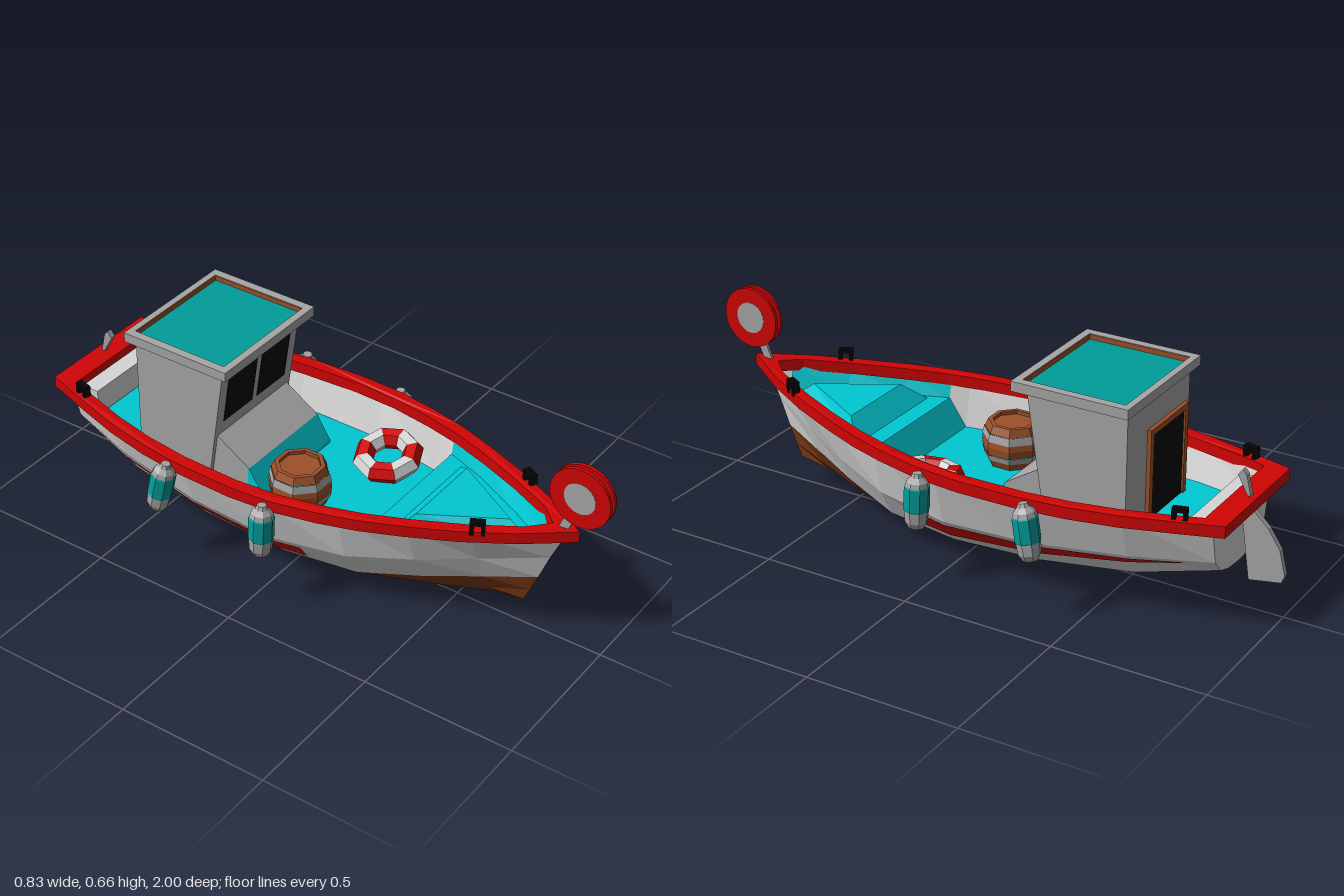
import * as THREE from 'three';

const mat = (name, color) => new THREE.MeshStandardMaterial({ name, color, flatShading: true, side: THREE.DoubleSide });
const lerpTable = (t, z) => { // t: [z, value] pairs with rising z
  if (z <= t[0][0]) return t[0][1];
  for (let i = 1; i < t.length; i++) {
    const [a, b] = [t[i - 1], t[i]];
    if (z <= b[0]) return a[1] + (b[1] - a[1]) * (z - a[0]) / (b[0] - a[0]);
  }
  return t[t.length - 1][1];
};

// Hull lines: half widths, heights and the z where each line meets the stem
const Z = [-0.85, -0.6, -0.3, 0, 0.25, 0.45, 0.62];
const line = (bowZ, xs, ys) => {
  const zs = [...Z, bowZ];
  const tx = zs.map((z, i) => [z, xs[i]]), ty = zs.map((z, i) => [z, ys[i]]);
  return { zs, xs, ys, x: z => lerpTable(tx, z), y: z => lerpTable(ty, z) };
};
const keel = line(0.73, [0, 0, 0, 0, 0, 0, 0, 0], [0.15, 0.075, 0.025, 0, 0.015, 0.04, 0.065, 0.085]);
const bilge = line(0.75, [0.07, 0.11, 0.125, 0.125, 0.105, 0.07, 0.03, 0], [0.155, 0.09, 0.042, 0.02, 0.03, 0.06, 0.1, 0.13]);
const water = line(0.775, [0.125, 0.19, 0.22, 0.22, 0.19, 0.125, 0.06, 0], [0.172, 0.125, 0.095, 0.08, 0.09, 0.125, 0.16, 0.19]);
const chine = line(0.81, [0.165, 0.235, 0.28, 0.285, 0.25, 0.175, 0.095, 0], [0.215, 0.2, 0.18, 0.17, 0.19, 0.22, 0.25, 0.28]);
const top = line(0.86, [0.195, 0.28, 0.33, 0.335, 0.285, 0.22, 0.148, 0], [0.345, 0.34, 0.338, 0.343, 0.353, 0.363, 0.373, 0.39]);
const LINES = [keel, bilge, water, chine, top];
const hullX = (z, y) => lerpTable(LINES.map(l => [l.y(z), l.x(z)]), y);

const RAIL = [[-0.9, 0.217], [-0.75, 0.262], [-0.6, 0.304], [-0.45, 0.335], [-0.3, 0.352], [-0.1, 0.36], [0.05, 0.351],
  [0.2, 0.322], [0.32, 0.29], [0.45, 0.242], [0.6, 0.178], [0.75, 0.1], [0.9, 0]];
const SHEER = [[-0.9, 0.37], [-0.6, 0.363], [-0.3, 0.362], [0, 0.367], [0.25, 0.377], [0.45, 0.387], [0.62, 0.396], [0.9, 0.415]];
const sheer = z => lerpTable(SHEER, z);
const DECK = 0.21, BOW = 0.3;
const deckY = z => DECK + Math.max(0, -z - 0.2) * 0.06;

// Surface through rows of points
function loft(rows) {
  const pos = rows.flat(2), idx = [], n = rows[0].length;
  for (let i = 0; i < rows.length - 1; i++) for (let j = 0; j < n - 1; j++) {
    const a = i * n + j;
    idx.push(a, a + 1, a + n + 1, a, a + n + 1, a + n);
  }
  const g = new THREE.BufferGeometry();
  g.setAttribute('position', new THREE.Float32BufferAttribute(pos, 3));
  g.setIndex(idx);
  g.computeVertexNormals();
  return g;
}
const hullLoft = list => loft([...Z, 1].map((_, i) => list.map(([l, s]) => [s * l.xs[i], l.ys[i], l.zs[i]])));
const shapeOf = pts => new THREE.Shape(pts.map(p => new THREE.Vector2(...p)));

// Side profile of [z, y] points extruded across x
function across(pts, x0, x1) {
  const g = new THREE.ExtrudeGeometry(shapeOf(pts.map(([z, y]) => [-z, y])), { depth: x1 - x0, bevelEnabled: false });
  return g.rotateY(Math.PI / 2).translate(x0, 0, 0);
}
// Plan outline of [x, z] points with an optional hole, extruded upwards if it has height
function plan(outer, hole, height) {
  const s = shapeOf(outer.map(([x, z]) => [x, -z]));
  if (hole) s.holes.push(new THREE.Path(hole.map(([x, z]) => new THREE.Vector2(x, -z))));
  const g = height ? new THREE.ExtrudeGeometry(s, { depth: height, bevelEnabled: false }) : new THREE.ShapeGeometry(s);
  return g.rotateX(-Math.PI / 2);
}
const rect = (w, z0, z1) => [[-w, z0], [w, z0], [w, z1], [-w, z1]];
const mirrored = side => [...side, ...side.filter(p => p[0] > 0).reverse().map(([x, z]) => [-x, z])];
const lathe = (pts, sides) => new THREE.LatheGeometry(pts.map(p => new THREE.Vector2(...p)), sides);

export function createModel() {
  const white = mat('hull white', 0xd6d6d6), grey = mat('cabin grey', 0xa6a6a6), red = mat('red', 0xd00404);
  const teal = mat('deck teal', 0x00c8d2), darkTeal = mat('panel teal', 0x009c9a), brown = mat('bottom brown', 0x783814);
  const wood = mat('wood', 0x9c5028), black = mat('black', 0x040404);
  const model = new THREE.Group();
  const add = (name, g, m, parent = model) => {
    const mesh = new THREE.Mesh(g, m);
    mesh.name = name;
    parent.add(mesh);
    return mesh;
  };
  const box = (name, w, h, d, x, y, z, m, parent) => add(name, new THREE.BoxGeometry(w, h, d).translate(x, y, z), m, parent);

  // Hull
  add('hullBottom', hullLoft([[water, -1], [bilge, -1], [keel, 1], [bilge, 1], [water, 1]]), brown);
  add('hullSideRight', hullLoft([[top, -1], [chine, -1], [water, -1]]), white);
  add('hullSideLeft', hullLoft([[water, 1], [chine, 1], [top, 1]]), white);
  const half = LINES.map(l => [l.xs[0], l.ys[0]]);
  const transom = new THREE.ShapeGeometry(shapeOf([...half, ...half.slice(1).reverse().map(([x, y]) => [-x, y])]));
  add('transom', transom.rotateY(Math.PI).translate(0, 0, -0.85), white);

  // Inner walls, white amidships and teal at the bow, and red side stripes
  const inset = (z, y) => Math.max(0, hullX(z, y) - 0.008);
  for (const s of [-1, 1]) {
    const order = r => (s < 0 ? r : r.reverse());
    const wall = (zs, low) => loft(zs.map(z => order([low(z), top.y(z)].map(y => [s * inset(z, y), y, z]))));
    add('innerWall', wall([-0.845, -0.6, -0.3, 0, 0.25, 0.31], deckY), white);
    add('bowWall', wall([0.31, 0.45, 0.62, 0.78], () => BOW - 0.005), teal);
    add('sideStripe', loft([[-0.76, 0.88, 0.94], [-0.6, 0.7, 0.92], [-0.3, 0.48, 0.9], [0, 0.32, 0.88], [0.1, 0.28, 0.87]].map(([z, a, b]) =>
      order([b, a].map(f => [s * (water.x(z) + (chine.x(z) - water.x(z)) * f + 0.004), water.y(z) + (chine.y(z) - water.y(z)) * f - 0.002, z])))), red);
  }

  // Rail following the sheer
  const innerRail = RAIL.slice(1, -1).map(([z, x]) => [x - 0.042, z]);
  const rail = plan(mirrored(RAIL.map(([z, x]) => [x, z])), mirrored([[0.195, -0.825], ...innerRail, [0, 0.81]]), 0.038);
  const p = rail.attributes.position;
  for (let i = 0; i < p.count; i++) p.setY(i, p.getY(i) + sheer(p.getZ(i)) - 0.038);
  rail.computeVertexNormals();
  add('rail', rail, red);

  // Decks: main deck, step, bow deck with raised hatch
  add('mainDeck', loft([-0.845, -0.6, -0.3, -0.2, 0, 0.25].map(z => [1, -1].map(s => [s * hullX(z, deckY(z)) * 0.99, deckY(z), z]))), teal);
  add('bowStep', loft([[0.25, DECK], [0.31, BOW]].map(([z, y]) => [1, -1].map(s => [s * inset(z, y), y, z]))), teal);
  add('bowDeck', plan(mirrored([...[0.31, 0.45, 0.62].map(z => [inset(z, BOW), z]), [0, 0.81]])).translate(0, BOW, 0), teal);
  const base = [[0.205, 0.37], [0, 0.75], [-0.205, 0.37]], lid = [[0.14, 0.43], [0, 0.67], [-0.14, 0.43]], LID = 0.36;
  add('hatchSides', loft([0, 2, 1, 0].map(i => [[lid[i][0], LID, lid[i][1]], [base[i][0], BOW, base[i][1]]])), teal);
  add('hatchLid', plan(lid).translate(0, LID, 0), teal);
  box('sternBench', 0.34, 0.09, 0.07, 0, 0.295, -0.8, white);

  // Cabin with roof, windows and door
  const cabin = new THREE.Group();
  cabin.name = 'cabin';
  model.add(cabin);
  const front = y => -0.235 - (0.63 - y) * 0.154;
  add('cabinWalls', across([[-0.57, 0.18], [front(0.18), 0.18], [front(0.63), 0.63], [-0.57, 0.63]], -0.195, 0.195), grey, cabin);
  add('console', across([[-0.3, 0.2], [-0.155, 0.2], [-0.155, 0.3], [front(0.375), 0.375], [-0.3, 0.375]], -0.18, 0.18), grey, cabin);
  add('frontLocker', across([[-0.16, 0.2], [-0.105, 0.2], [-0.105, 0.22], [-0.155, 0.3], [-0.16, 0.3]], -0.18, 0.18), teal, cabin);
  for (const x of [-0.157, 0.012]) {
    const pane = [[0.42, 0], [0.42, 0.002], [0.597, 0.002], [0.597, 0]].map(([y, d]) => [front(y) + d, y]);
    add('frontWindow', across(pane, x, x + 0.145), black, cabin);
  }
  add('roofRim', plan(rect(0.228, -0.587, -0.2), rect(0.2, -0.565, -0.225), 0.032).translate(0, 0.628, 0), grey, cabin);
  add('roofTrim', plan(rect(0.2, -0.565, -0.225), rect(0.198, -0.563, -0.227), 0.028).translate(0, 0.63, 0), wood, cabin);
  box('roofPanel', 0.396, 0.014, 0.336, 0, 0.635, -0.395, darkTeal, cabin);
  box('soffit', 0.436, 0.004, 0.367, 0, 0.627, -0.3935, darkTeal, cabin);
  box('door', 0.2, 0.3, 0.008, -0.05, 0.36, -0.573, black, cabin);
  for (const x of [-0.16, 0.06]) box('doorPost', 0.02, 0.33, 0.016, x, 0.365, -0.575, wood, cabin);
  box('doorLintel', 0.24, 0.02, 0.016, -0.05, 0.52, -0.575, wood, cabin);

  // Bow roller
  add('rollerStrut', across([[0.82, 0.38], [0.85, 0.38], [0.92, 0.545], [0.89, 0.555]], -0.005, 0.005), grey);
  for (const s of [-1, 1]) {
    const disc = (r, w, x) => new THREE.CylinderGeometry(r, r, w, 24).rotateZ(Math.PI / 2).translate(s * x, 0.545, 0.9);
    add('rollerDisc', disc(0.1, 0.012, 0.012), red);
    add('rollerHub', disc(0.052, 0.013, 0.0125), grey);
  }

  // Rudder and tiller blade
  add('rudder', across([[-0.835, 0.43], [-0.85, 0.45], [-0.863, 0.435], [-0.888, 0.33], [-0.94, 0.28], [-0.98, 0.22], [-1, 0.14], [-0.99, 0.115],
    [-0.885, 0.097], [-0.87, 0.2], [-0.855, 0.3], [-0.868, 0.37]], -0.009, 0.009), grey);

  // Fenders
  const ends = [[[0, -0.088], [0.024, -0.086], [0.035, -0.066], [0.038, -0.03]], [[0.038, 0.05], [0.034, 0.064], [0.02, 0.078], [0.015, 0.09], [0, 0.09]]];
  for (const s of [-1, 1]) for (const [z, tilt] of [[0.035, 0], [-0.345, 0.2]]) {
    const fender = new THREE.Group();
    fender.name = 'fender';
    ends.forEach(e => add('fenderEnd', lathe(e, 8), grey, fender));
    add('fenderBand', lathe([[0.038, -0.03], [0.04, -0.026], [0.04, 0.046], [0.038, 0.05]], 8), darkTeal, fender);
    fender.position.set(s * 0.374, 0.272, z);
    fender.rotation.set(tilt, 0, s * 0.06);
    model.add(fender);
  }

  // Cleats on the rail
  for (const s of [-1, 1]) for (const [x, z, turn] of [[0.146, 0.645, -0.5], [0.235, -0.765, 0.27]]) {
    const cleat = new THREE.Group();
    cleat.name = 'cleat';
    box('cleatBar', 0.024, 0.012, 0.046, 0, 0.03, 0, black, cleat);
    for (const d of [-0.017, 0.017]) box('cleatPost', 0.024, 0.04, 0.012, 0, 0.01, d, black, cleat);
    cleat.position.set(s * x, sheer(z), z);
    cleat.rotation.y = s * turn;
    model.add(cleat);
  }

  // Barrel
  const barrel = new THREE.Group();
  barrel.name = 'barrel';
  const ys = [0, 0.025, 0.045, 0.07, 0.09, 0.115, 0.14], rs = [0.08, 0.091, 0.097, 0.1, 0.097, 0.091, 0.08];
  for (let i = 0; i < 6; i++) {
    const hoop = i === 1 || i === 4, o = hoop ? 0.002 : 0;
    add(hoop ? 'barrelHoop' : 'barrelStaves', lathe([[rs[i] + o, ys[i]], [rs[i + 1] + o, ys[i + 1]]], 8), hoop ? grey : wood, barrel);
  }
  add('barrelRim', lathe([[0.08, 0.14], [0.066, 0.14], [0.066, 0.128], [0, 0.128]], 8), wood, barrel);
  barrel.position.set(-0.12, DECK, -0.005);
  barrel.rotation.y = Math.PI / 8;
  model.add(barrel);

  // Life ring leaning against the side
  const ring = new THREE.Group();
  ring.name = 'lifeRing';
  for (let i = 0; i < 8; i++) {
    const seg = new THREE.TorusGeometry(0.08, 0.034, 6, 1, Math.PI / 4).rotateZ(i * Math.PI / 4).rotateX(-Math.PI / 2);
    add('ringSegment', seg, i % 2 ? white : red, ring);
  }
  ring.position.set(0.176, DECK + 0.045, 0.12);
  ring.rotation.z = 0.2;
  model.add(ring);
  return model;
}
